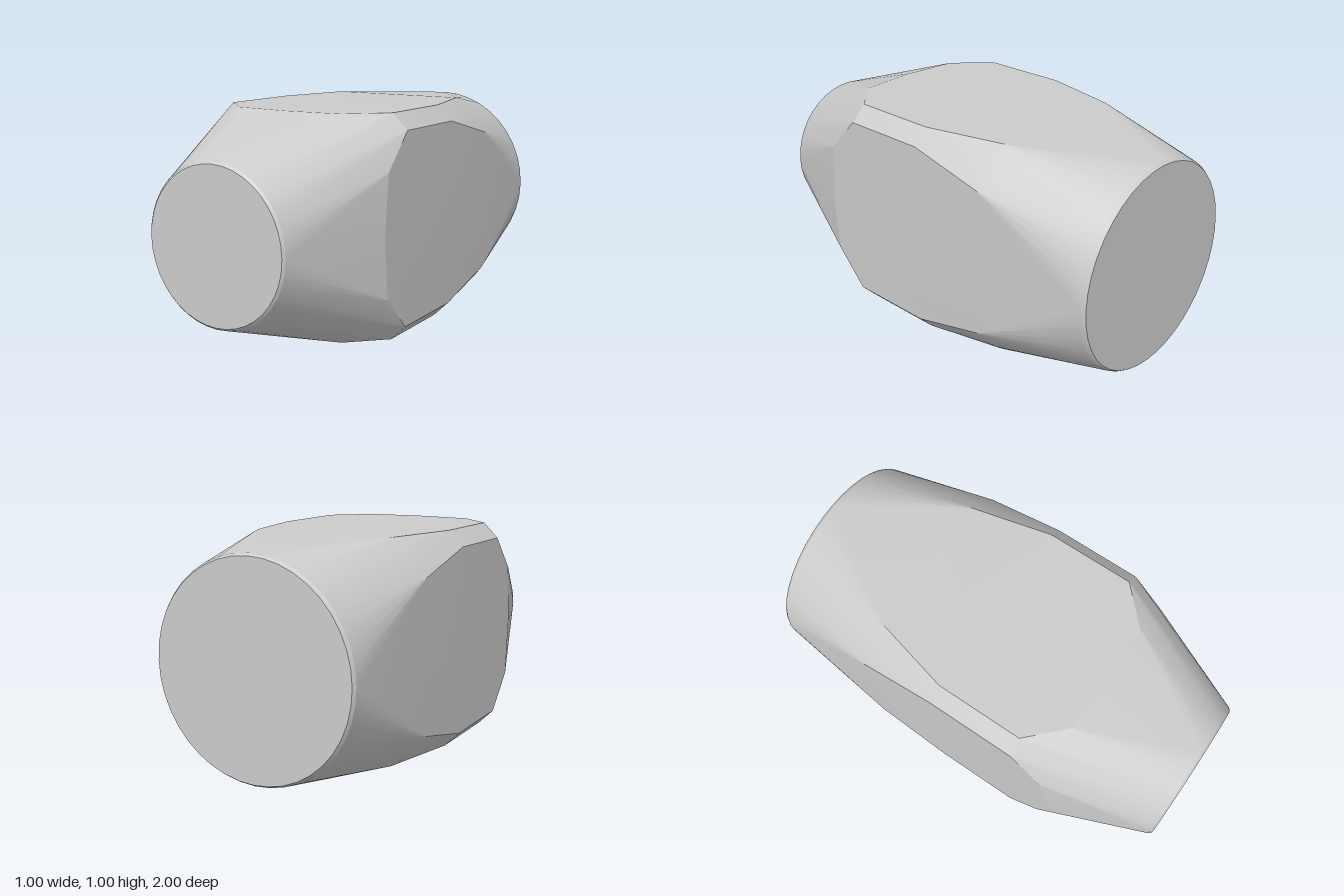
import * as THREE from 'three';
import { ConvexGeometry } from 'three/addons/geometries/ConvexGeometry.js';
import { toCreasedNormals } from 'three/addons/utils/BufferGeometryUtils.js';

const HALF = 0.5; // half width of the square middle

// Round end ring
function circle(radius, z, segments = 40) {
  return Array.from({ length: segments }, (_, i) => {
    const a = (i / segments) * Math.PI * 2;
    return new THREE.Vector3(Math.cos(a) * radius, Math.sin(a) * radius, z);
  });
}

// Square section with rounded corners; flat is half the length of each straight side
function roundedSquare(flat, z, steps) {
  const radius = Math.hypot(HALF, flat);
  const start = Math.atan2(flat, HALF);
  const points = [];
  for (let q = 0; q < 4; q++) {
    for (let i = 0; i <= steps; i++) {
      const a = q * Math.PI / 2 + start + (i / steps) * (Math.PI / 2 - 2 * start);
      points.push(new THREE.Vector3(Math.cos(a) * radius, Math.sin(a) * radius, z));
    }
  }
  return points;
}

export function createModel() {
  const group = new THREE.Group();
  group.name = 'taperedBlock';

  // Round narrow front, square middle with cut corners, round wide back
  const points = [
    ...circle(0.335, 1),
    ...circle(0.345, 0.99),
    ...circle(HALF, 0.51, 4),
    ...roundedSquare(0.27, 0.485, 6),
    ...roundedSquare(0.43, 0.33, 1),
    ...roundedSquare(0.43, -0.08, 1),
    ...roundedSquare(0.34, -0.45, 4),
    ...circle(0.475, -0.985),
    ...circle(0.465, -1),
  ];
  const geometry = toCreasedNormals(new ConvexGeometry(points), 0.2);
  geometry.translate(0, HALF, 0);

  const body = new THREE.Mesh(geometry, new THREE.MeshStandardMaterial({ color: 0xcccccc }));
  body.name = 'body';
  group.add(body);
  return group;
}
